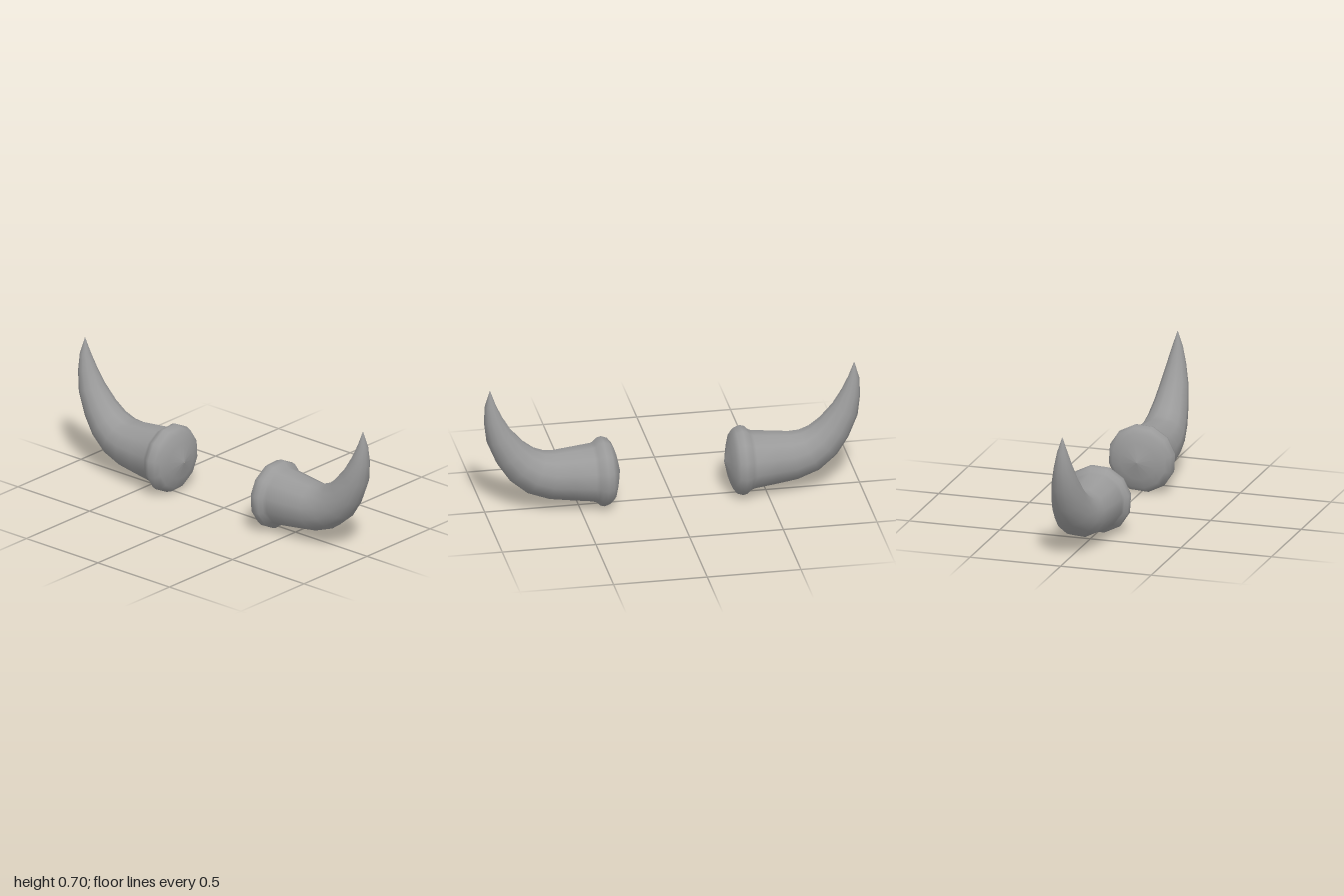
import * as THREE from 'three';

const SIDES = 12;
const TWIST = 0.2; // rotation of every ring about the horn's axis
const AXIS_Y = 0.1825; // height of the horn's root

// Straight root, from the shallow base cap over the collar to the neck: [x, radius]
const ROOT = [
  [0.278, 0.001], [0.301, 0.1], [0.318, 0.15], [0.338, 0.175],
  [0.37, 0.186], [0.393, 0.18], [0.41, 0.163], [0.43, 0.155],
];

// Curved horn, each ring square to the path: [x, y, radius]
const CURVE = [
  [0.54, 0.184, 0.142],
  [0.645, 0.188, 0.130],
  [0.73, 0.212, 0.120],
  [0.803, 0.262, 0.107],
  [0.864, 0.333, 0.092],
  [0.923, 0.432, 0.073],
  [0.954, 0.529, 0.051],
  [0.970, 0.615, 0.029],
  [0.972, 0.700, 0.001],
];

const RINGS = [...ROOT.map(([x, r]) => [x, AXIS_Y, r]), ...CURVE];

// side = 1 builds the left horn, side = -1 its mirror image.
function makeHorn(name, side, material) {
  const positions = [];
  const index = [];
  RINGS.forEach(([x, y, r], i) => {
    const a = RINGS[Math.max(i - 1, 0)];
    const b = RINGS[Math.min(i + 1, RINGS.length - 1)];
    const tangent = new THREE.Vector2(b[0] - a[0], b[1] - a[1]).normalize();
    for (let j = 0; j < SIDES; j++) {
      const t = TWIST + (j / SIDES) * Math.PI * 2;
      const up = Math.sin(t) * r;
      positions.push(side * (x - tangent.y * up), y + tangent.x * up, Math.cos(t) * r);
      if (i === 0) continue;
      const k = (j + 1) % SIDES;
      const p = (i - 1) * SIDES + j, q = (i - 1) * SIDES + k;
      const s = i * SIDES + j, u = i * SIDES + k;
      if (side > 0) index.push(p, s, q, q, s, u);
      else index.push(p, q, s, q, u, s);
    }
  });
  const geometry = new THREE.BufferGeometry();
  geometry.setAttribute('position', new THREE.Float32BufferAttribute(positions, 3));
  geometry.setIndex(index);
  geometry.computeVertexNormals();
  const mesh = new THREE.Mesh(geometry, material);
  mesh.name = name;
  return mesh;
}

export function createModel() {
  const model = new THREE.Group();
  model.name = 'hornPair';
  const material = new THREE.MeshStandardMaterial({ color: 0x9a9a9a });
  model.add(makeHorn('leftHorn', 1, material), makeHorn('rightHorn', -1, material));
  return model;
}
